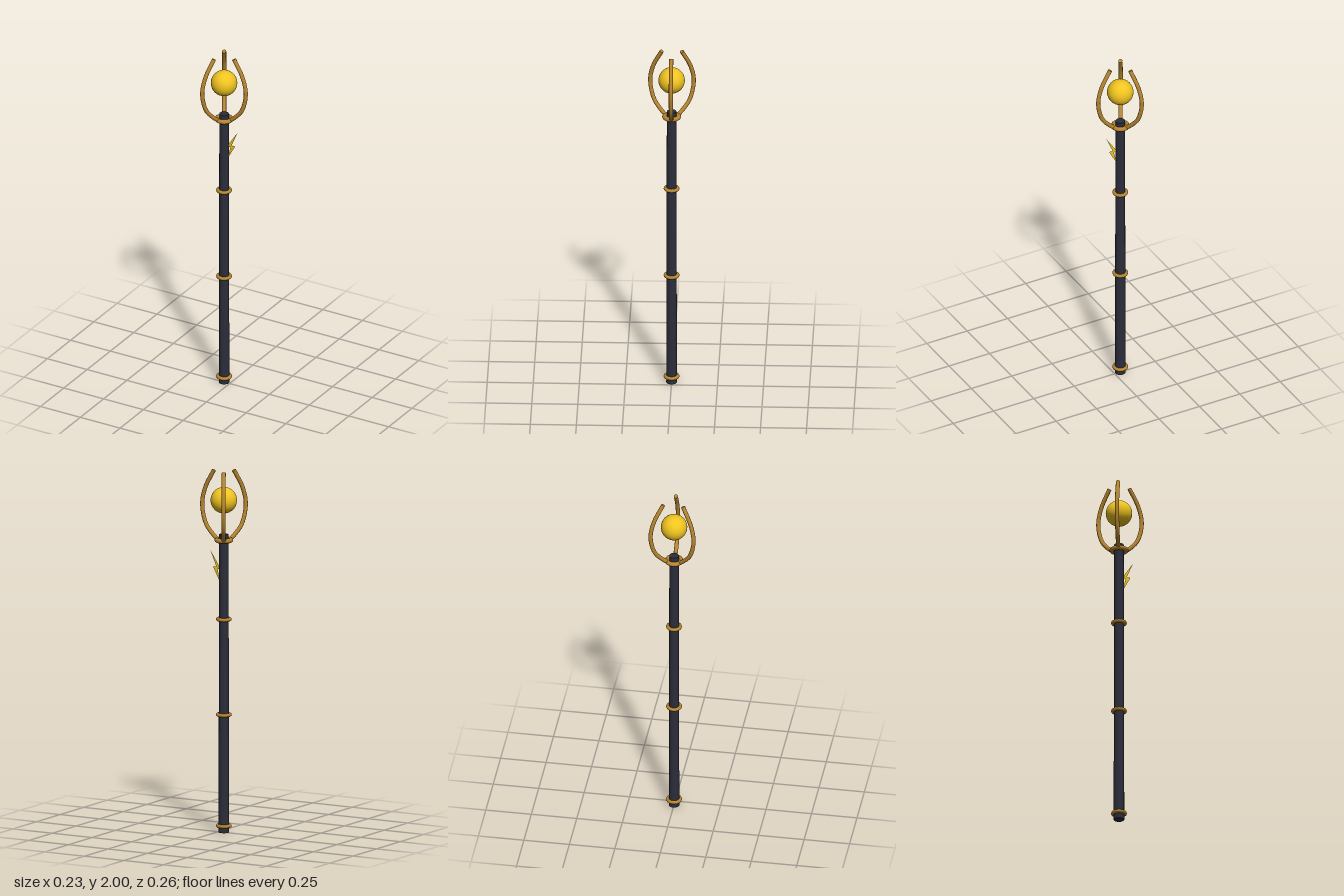
import * as THREE from 'three';

const mat = (color, side = THREE.FrontSide) => new THREE.MeshStandardMaterial({ color, side });

export function createModel() {
  const staff = new THREE.Group();
  staff.name = 'staff';
  const dark = mat(0x2b2d3a);
  const bronze = mat(0xb8862f);
  const yellow = mat(0xf0c420, THREE.DoubleSide);

  const add = (parent, name, geometry, material, x = 0, y = 0, z = 0) => {
    const mesh = new THREE.Mesh(geometry, material);
    mesh.name = name;
    mesh.position.set(x, y, z);
    parent.add(mesh);
    return mesh;
  };

  // Slightly tapered shaft
  add(staff, 'shaft', new THREE.CylinderGeometry(0.026, 0.029, 1.645, 16), dark, 0, 0.8225, 0);

  // Bands along the shaft and the thicker collar below the prongs
  const bands = [[0.037, 0.033, 0.01], [0.65, 0.033, 0.01], [1.177, 0.033, 0.01], [1.613, 0.038, 0.013]];
  bands.forEach(([y, radius, tube], i) => {
    const ring = add(staff, i === 3 ? 'collar' : 'band', new THREE.TorusGeometry(radius, tube, 10, 32), bronze, 0, y, 0);
    ring.rotation.x = Math.PI / 2;
  });

  // Floating orb
  add(staff, 'orb', new THREE.SphereGeometry(0.072, 32, 20), yellow, 0, 1.833, 0);

  // Three curved prongs around the orb
  const path = new THREE.CatmullRomCurve3([
    [0.036, 1.612], [0.065, 1.636], [0.112, 1.693], [0.1365, 1.8], [0.117, 1.893], [0.063, 1.994],
  ].map(([r, y]) => new THREE.Vector3(r, y, 0)));
  const prongGeometry = new THREE.TubeGeometry(path, 32, 0.0115, 10, false);
  const capGeometry = new THREE.CircleGeometry(0.0115, 10);
  for (let i = 0; i < 3; i++) {
    const prong = new THREE.Group();
    prong.name = 'prong';
    add(prong, 'prongBar', prongGeometry, bronze);
    const tip = path.getPoint(1);
    const cap = add(prong, 'prongTip', capGeometry, bronze, tip.x, tip.y, tip.z);
    cap.quaternion.setFromUnitVectors(new THREE.Vector3(0, 0, 1), path.getTangent(1));
    prong.rotation.y = i * Math.PI * 2 / 3;
    staff.add(prong);
  }

  // Flat lightning bolt set into the side of the shaft
  const bolt = new THREE.Shape([
    [0.085, 1.55], [0.018, 1.45], [0.04, 1.45], [0.022, 1.375], [0.069, 1.462], [0.047, 1.462],
  ].map(([x, y]) => new THREE.Vector2(x, y)));
  add(staff, 'bolt', new THREE.ShapeGeometry(bolt), yellow);

  // The shaft stands off centre so that the three prongs span x evenly
  staff.position.x = -0.035;
  const model = new THREE.Group();
  model.name = 'model';
  model.add(staff);
  return model;
}
